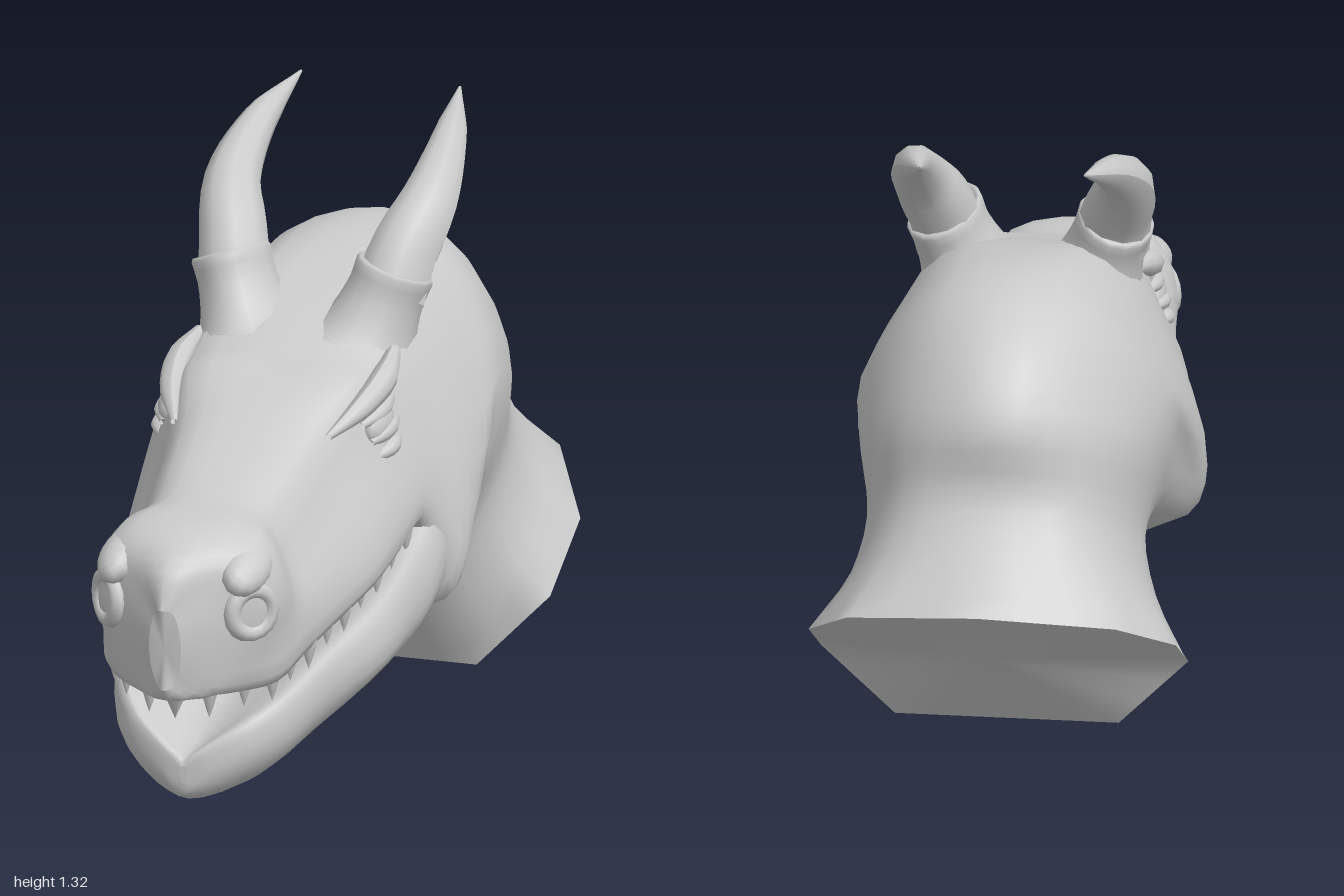
import * as THREE from 'three';

const mat = new THREE.MeshStandardMaterial({ color: 0xcccccc, side: THREE.DoubleSide });
const V = (p) => new THREE.Vector3(...p);
const V2 = (p) => new THREE.Vector2(...p);

function add(parent, name, geometry) {
  const m = new THREE.Mesh(geometry, mat);
  m.name = name;
  parent.add(m);
  return m;
}

// half section in the plane z, from top centre round the +x side to bottom centre
const flat = (z, ...pts) => pts.map(([x, y]) => [x, y, z]);

// mirrored half sections, smoothed around and along, closed with caps
function loft(sections, sharpFirst = false, around = 3, along = 3) {
  const rings = sections.map((half, r) => {
    const left = half.map(V);
    const right = half.slice(1, -1).reverse().map(([x, y, z]) => V([-x, y, z]));
    const loop = [...left, ...right];
    const curve = new THREE.CatmullRomCurve3(loop, true);
    const n = loop.length * around;
    return Array.from({ length: n }, (_, k) => {
      if (!(sharpFirst && r === 0)) return curve.getPoint(k / n);
      const a = Math.floor(k / around);
      return loop[a].clone().lerp(loop[(a + 1) % loop.length], (k % around) / around);
    });
  });
  const n = rings[0].length, steps = (rings.length - 1) * along;
  const columns = rings[0].map((_, k) => new THREE.CatmullRomCurve3(rings.map((r) => r[k])));
  const verts = [], index = [];
  for (let i = 0; i <= steps; i++)
    for (let k = 0; k < n; k++) verts.push(columns[k].getPoint(i / steps));
  for (let i = 0; i < steps; i++)
    for (let k = 0; k < n; k++) {
      const a = i * n + k, b = i * n + (k + 1) % n, c = a + n, d = b + n;
      index.push(a, c, b, b, c, d);
    }
  for (const end of [0, 1]) {
    const ring = verts.slice(end * steps * n, end * steps * n + n).map((v) => v.clone());
    const start = verts.length;
    const mid = ring.reduce((s, v) => s.add(v), new THREE.Vector3()).divideScalar(n);
    verts.push(...ring, mid);
    for (let k = 0; k < n; k++) {
      const a = start + k, b = start + (k + 1) % n;
      index.push(start + n, ...(end ? [b, a] : [a, b]));
    }
  }
  const g = new THREE.BufferGeometry().setFromPoints(verts);
  g.setIndex(index);
  g.computeVertexNormals();
  return g;
}

// tube whose radius follows a list of values
function taperedTube(points, radii, sides = 10, steps = 14) {
  const curve = new THREE.CatmullRomCurve3(points.map(V));
  const g = new THREE.TubeGeometry(curve, steps, 1, sides);
  const pos = g.attributes.position, v = new THREE.Vector3();
  for (let i = 0; i < pos.count; i++) {
    const u = Math.floor(i / (sides + 1)) / steps;
    const f = u * (radii.length - 1), a = Math.min(Math.floor(f), radii.length - 2);
    const radius = THREE.MathUtils.lerp(radii[a], radii[a + 1], f - a);
    const centre = curve.getPointAt(u);
    v.fromBufferAttribute(pos, i).sub(centre).multiplyScalar(radius).add(centre);
    pos.setXYZ(i, v.x, v.y, v.z);
  }
  g.computeVertexNormals();
  return g;
}

// neck rings tilt gradually into the skull
const neck = [
  [[0, .42, -1], [.3, .38, -.92], [.41, .28, -.73], [.41, .165, -.515], [.25, 0, -.48], [0, 0, -.48]],
  [[0, .53, -.88], [.22, .5, -.82], [.32, .4, -.66], [.33, .28, -.48], [.21, .14, -.4], [0, .13, -.4]],
  [[0, .65, -.805], [.19, .62, -.76], [.29, .52, -.6], [.3, .41, -.42], [.2, .27, -.31], [0, .26, -.31]],
  [[0, .79, -.81], [.19, .76, -.73], [.31, .66, -.55], [.32, .5, -.36], [.24, .35, -.23], [0, .34, -.23]],
];
const skull = [
  [[0, .92, -.73], [.19, .87, -.64], [.33, .71, -.45], [.335, .53, -.28], [.27, .37, -.17], [0, .33, -.17]],
  [[0, 1.01, -.58], [.19, .96, -.5], [.345, .73, -.34], [.345, .54, -.18], [.3, .36, -.1], [0, .3, -.09]],
  [[0, 1.035, -.42], [.18, .985, -.36], [.355, .7, -.22], [.375, .46, -.07], [.33, .33, -.03], [0, .26, -.03]],
  [[0, 1.02, -.26], [.18, .98, -.2], [.335, .72, -.1], [.385, .44, 0], [.34, .32, .03], [0, .25, .04]],
  [[0, .98, -.08], [.19, .95, -.04], [.3, .74, .02], [.35, .52, .06], [.31, .43, .07], [0, .4, .08]],
];
const snout = [
  flat(.13, [0, .91], [.2, .88], [.265, .76], [.325, .6], [.315, .53], [0, .54]),
  flat(.22, [0, .885], [.19, .87], [.245, .75], [.31, .58], [.3, .49], [0, .52]),
  flat(.36, [0, .835], [.15, .81], [.215, .69], [.29, .53], [.285, .45], [0, .49]),
  flat(.52, [0, .765], [.13, .745], [.2, .62], [.255, .5], [.25, .41], [0, .46]),
  flat(.66, [0, .725], [.12, .7], [.19, .58], [.23, .48], [.22, .375], [0, .42]),
  flat(.77, [0, .715], [.155, .69], [.215, .57], [.21, .45], [.195, .345], [0, .4]),
  flat(.86, [0, .7], [.15, .66], [.19, .55], [.17, .43], [.14, .345], [0, .36]),
  [[0, .64, .965], [.085, .61, .92], [.13, .53, .9], [.11, .42, .91], [.075, .35, .925], [0, .34, .96]],
  [[0, .56, .998], [.02, .55, .98], [.035, .5, .975], [.035, .43, .97], [.02, .38, .97], [0, .37, .985]],
];
// jaw sections: floor of the mouth, inner lip, outer lip, side, keel, bottom
const jaw = [
  flat(-.06, [0, .4], [.25, .46], [.32, .47], [.35, .42], [.3, .34], [0, .28]),
  flat(.06, [0, .45], [.27, .55], [.32, .55], [.355, .42], [.3, .29], [0, .235]),
  flat(.13, [0, .38], [.27, .49], [.315, .49], [.345, .36], [.29, .26], [0, .215]),
  flat(.22, [0, .34], [.26, .44], [.31, .45], [.335, .33], [.28, .24], [0, .2]),
  flat(.37, [0, .28], [.24, .39], [.295, .4], [.32, .29], [.24, .2], [0, .16]),
  flat(.55, [0, .23], [.19, .33], [.24, .34], [.25, .24], [.18, .14], [0, .095]),
  flat(.7, [0, .2], [.14, .27], [.19, .285], [.2, .19], [.13, .1], [0, .07]),
  flat(.79, [0, .175], [.09, .23], [.13, .24], [.14, .17], [.08, .09], [0, .06]),
  flat(.835, [0, .165], [.025, .18], [.05, .185], [.055, .14], [.035, .1], [0, .08]),
  flat(.843, [0, .15], [.004, .15], [.008, .15], [.008, .13], [.004, .11], [0, .11]),
];

// features of the model's left side
function sideFeatures() {
  const g = new THREE.Group();

  // horn and the flared socket it grows from
  add(g, 'horn', taperedTube([[.18, .98, -.07], [.195, 1.06, -.11], [.228, 1.16, -.2], [.222, 1.25, -.36], [.185, 1.315, -.56]],
    [.085, .076, .055, .034, .003], 10, 16));
  const profile = [[.15, -.12], [.115, -.07], [.095, -.01], [.086, .05], [.088, .1], [.072, .1], [.07, .06]];
  const socket = add(g, 'hornSocket', new THREE.LatheGeometry(new THREE.SplineCurve(profile.map(V2)).getPoints(14), 14));
  socket.scale.z = 1.3;
  socket.position.set(.16, .95, -.06);
  socket.rotation.set(-.22, 0, -.33);

  // eye with lids and brow
  const eye = add(g, 'eye', new THREE.SphereGeometry(1, 14, 10));
  eye.scale.set(.035, .05, .07);
  eye.position.set(.235, .765, .18);
  [[.8, .247, .08], [.757, .262, .065], [.718, .27, .05]].forEach(([y, x, w]) =>
    add(g, 'eyelid', taperedTube([[x - .02, y - .015, .18 + w], [x, y, .19], [x - .005, y + .01, .18 - w]],
      [.008, .018, .018, .008], 8, 8)));
  add(g, 'brow', taperedTube([[.18, .785, .36], [.222, .825, .25], [.238, .86, .14], [.225, .89, .03]],
    [.008, .026, .032, .015], 8, 10));

  // nostril rim and the swelling above it
  const rim = add(g, 'nostril', new THREE.TorusGeometry(.05, .02, 8, 16));
  rim.position.set(.166, .535, .865);
  rim.rotation.y = .85;
  const swelling = add(g, 'nostrilSwelling', new THREE.SphereGeometry(1, 14, 10));
  swelling.scale.set(.055, .045, .1);
  swelling.position.set(.145, .625, .83);
  swelling.rotation.set(.25, 0, -.6);

  // upper teeth along the lip
  const lip = new THREE.CatmullRomCurve3([[.07, .365, .87], [.165, .375, .8], [.205, .395, .66], [.238, .43, .52],
    [.268, .47, .36], [.288, .51, .22], [.298, .54, .13]].map(V));
  const fang = [[0, -1], [.1, -.72], [.2, -.38], [.25, -.1], [.2, .15]].map(V2);
  for (let i = 0; i < 11; i++) {
    const tooth = add(g, 'tooth', new THREE.LatheGeometry(fang, 8));
    tooth.scale.setScalar(.082 - .002 * i + (i % 2 ? -.008 : .004));
    tooth.position.copy(lip.getPointAt(i / 10.4));
  }
  return g;
}

export function createModel() {
  const model = new THREE.Group();
  model.name = 'dragonHead';
  add(model, 'head', loft([...neck, ...skull, ...snout], true));
  add(model, 'lowerJaw', loft(jaw));
  const frontTooth = add(model, 'frontTooth', new THREE.ConeGeometry(.04, .09, 8));
  frontTooth.position.set(0, .325, .9);
  frontTooth.rotation.x = Math.PI;

  const left = sideFeatures();
  left.name = 'leftFeatures';
  const right = sideFeatures();
  right.name = 'rightFeatures';
  right.scale.x = -1;
  model.add(left, right);
  return model;
}
